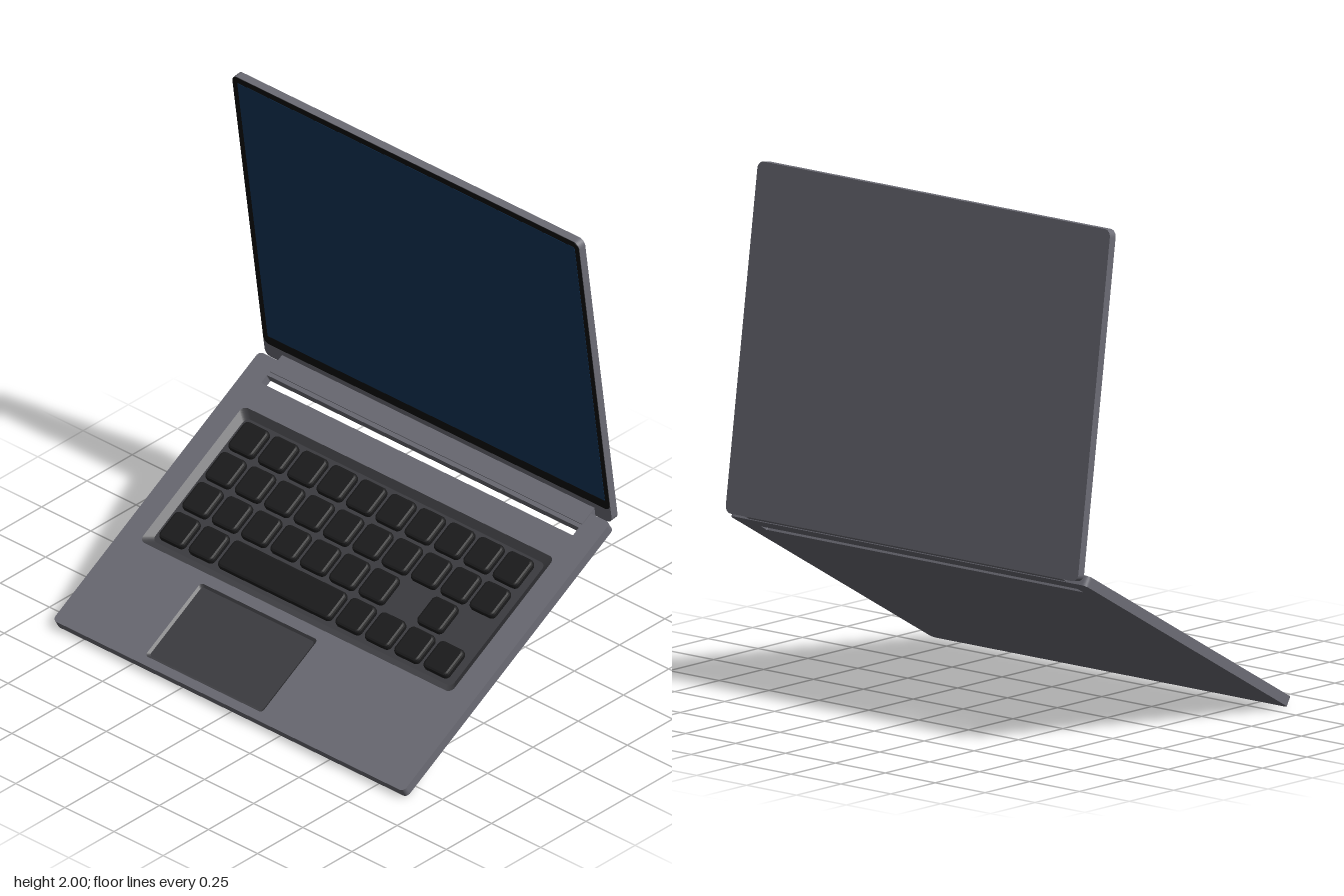
import * as THREE from 'three';

const mat = (color, side = THREE.FrontSide) => new THREE.MeshStandardMaterial({ color, side });
const bodyMat = mat(0x6c6c75);
const wellMat = mat(0x3e3e42, THREE.DoubleSide);
const keyMat = mat(0x1b1b1c);
const bezelMat = mat(0x0d0d0e);
const screenMat = mat(0x14365a);

// Rounded rectangle outline
function roundRect(x0, x1, y0, y1, r, Type = THREE.Shape) {
  const s = new Type();
  s.moveTo(x0 + r, y0);
  s.lineTo(x1 - r, y0);
  s.absarc(x1 - r, y0 + r, r, -Math.PI / 2, 0);
  s.lineTo(x1, y1 - r);
  s.absarc(x1 - r, y1 - r, r, 0, Math.PI / 2);
  s.lineTo(x0 + r, y1);
  s.absarc(x0 + r, y1 - r, r, Math.PI / 2, Math.PI);
  s.lineTo(x0, y0 + r);
  s.absarc(x0 + r, y0 + r, r, Math.PI, Math.PI * 1.5);
  return s;
}

function add(parent, name, geometry, material) {
  const mesh = new THREE.Mesh(geometry, material);
  mesh.name = name;
  parent.add(mesh);
  return mesh;
}

const extrude = (shape, depth, z = 0) =>
  new THREE.ExtrudeGeometry(shape, { depth, bevelEnabled: false, curveSegments: 5 }).translate(0, 0, z);

// Sunken tray with sloping walls: outline x0, x1, y0, y1, inset at the floor
function addWell(parent, name, [x0, x1, y0, y1], inset, depth, r) {
  const cx = (x0 + x1) / 2, cy = (y0 + y1) / 2;
  const kx = 1 - 2 * inset / (x1 - x0), ky = 1 - 2 * inset / (y1 - y0);
  const a = roundRect(x0, x1, y0, y1, r).getPoints(5);
  const b = a.map((p) => new THREE.Vector2(cx + (p.x - cx) * kx, cy + (p.y - cy) * ky));
  const pos = [];
  for (let i = 0; i < a.length; i++) {
    const j = (i + 1) % a.length;
    pos.push(a[i].x, a[i].y, 0, a[j].x, a[j].y, 0, b[i].x, b[i].y, -depth);
    pos.push(a[j].x, a[j].y, 0, b[j].x, b[j].y, -depth, b[i].x, b[i].y, -depth);
  }
  const walls = new THREE.BufferGeometry();
  walls.setAttribute('position', new THREE.Float32BufferAttribute(pos, 3));
  walls.computeVertexNormals();
  add(parent, name + 'Walls', walls, wellMat);
  add(parent, name + 'Floor', new THREE.ShapeGeometry(new THREE.Shape(b)).translate(0, 0, -depth), wellMat);
}

// Keycap with a bevelled top
function keyGeometry(width) {
  const bevel = 0.01, w = width / 2 - bevel, d = 0.065 - bevel;
  return new THREE.ExtrudeGeometry(roundRect(-w, w, -d, d, 0.012), {
    depth: 0.012, bevelThickness: 0.01, bevelSize: bevel, bevelSegments: 2, curveSegments: 3,
  }).translate(0, 0, -0.012);
}

// Drawn flat in x/y with z as height above the deck, then laid down and tilted
function createBase() {
  const base = new THREE.Group();
  base.name = 'base';
  const keyWell = [-0.797, 0.787, -0.225, 0.437];
  const padWell = [-0.45, 0.145, -0.625, -0.268];
  const slot = [-0.797, 0.79, 0.55, 0.588];

  const deck = roundRect(-0.893, 0.893, -0.66, 0.66, 0.02);
  deck.holes.push(
    roundRect(...keyWell, 0.025, THREE.Path),
    roundRect(...padWell, 0.015, THREE.Path),
    roundRect(...slot, 0.004, THREE.Path));
  add(base, 'deck', extrude(deck, 0.024, -0.024), bodyMat);

  const bottom = roundRect(-0.893, 0.893, -0.66, 0.66, 0.02);
  bottom.holes.push(roundRect(...slot, 0.004, THREE.Path));
  add(base, 'bottomPlate', extrude(bottom, 0.016, -0.04), bodyMat);

  addWell(base, 'keyboardWell', keyWell, 0.03, 0.02, 0.025);
  addWell(base, 'touchpad', padWell, 0.01, 0.008, 0.015);

  // Keys: [first column, columns spanned]
  const singles = (...cols) => cols.map((c) => [c, 1]);
  const rows = [
    singles(0, 1, 2, 3, 4, 5, 6, 7, 8, 9),
    singles(0, 1, 2, 3, 4, 5, 6, 7, 8, 9),
    singles(0, 1, 2, 3, 4, 5, 6, 8),
    [[0, 1], [1, 1], [2, 4], ...singles(6, 7, 8, 9)],
  ];
  const pitch = 0.1494;
  const keys = new THREE.Group();
  keys.name = 'keys';
  base.add(keys);
  rows.forEach((row, j) => row.forEach(([col, span]) => {
    const key = add(keys, span > 1 ? 'spaceBar' : 'key', keyGeometry(0.125 + (span - 1) * pitch), keyMat);
    key.position.set(-0.68 + (col + (span - 1) / 2) * pitch, 0.325 - j * 0.147, 0);
  }));

  // Hinge strip joining the base to the lid
  add(base, 'hinge', new THREE.BoxGeometry(1.59, 0.085, 0.042).translate(0, 0.647, -0.016), bodyMat);

  base.rotation.x = -Math.PI / 2 + Math.PI / 6;
  base.position.set(0, 0.365, 0.028);
  return base;
}

function createLid() {
  const lid = new THREE.Group();
  lid.name = 'lid';
  add(lid, 'lidShell', extrude(roundRect(-0.885, 0.881, 0, 1.333, 0.028), 0.033), bodyMat);
  add(lid, 'bezel', extrude(roundRect(-0.883, 0.879, 0.06, 1.331, 0.026), 0.002, 0.0325), bezelMat);
  add(lid, 'screen', extrude(roundRect(-0.858, 0.858, 0.1, 1.306, 0.004), 0.001, 0.0345), screenMat);
  lid.rotation.x = THREE.MathUtils.degToRad(8);
  lid.position.set(0, 0.68, -0.6);
  return lid;
}

export function createModel() {
  const model = new THREE.Group();
  model.name = 'laptop';
  model.add(createBase(), createLid());
  return model;
}
